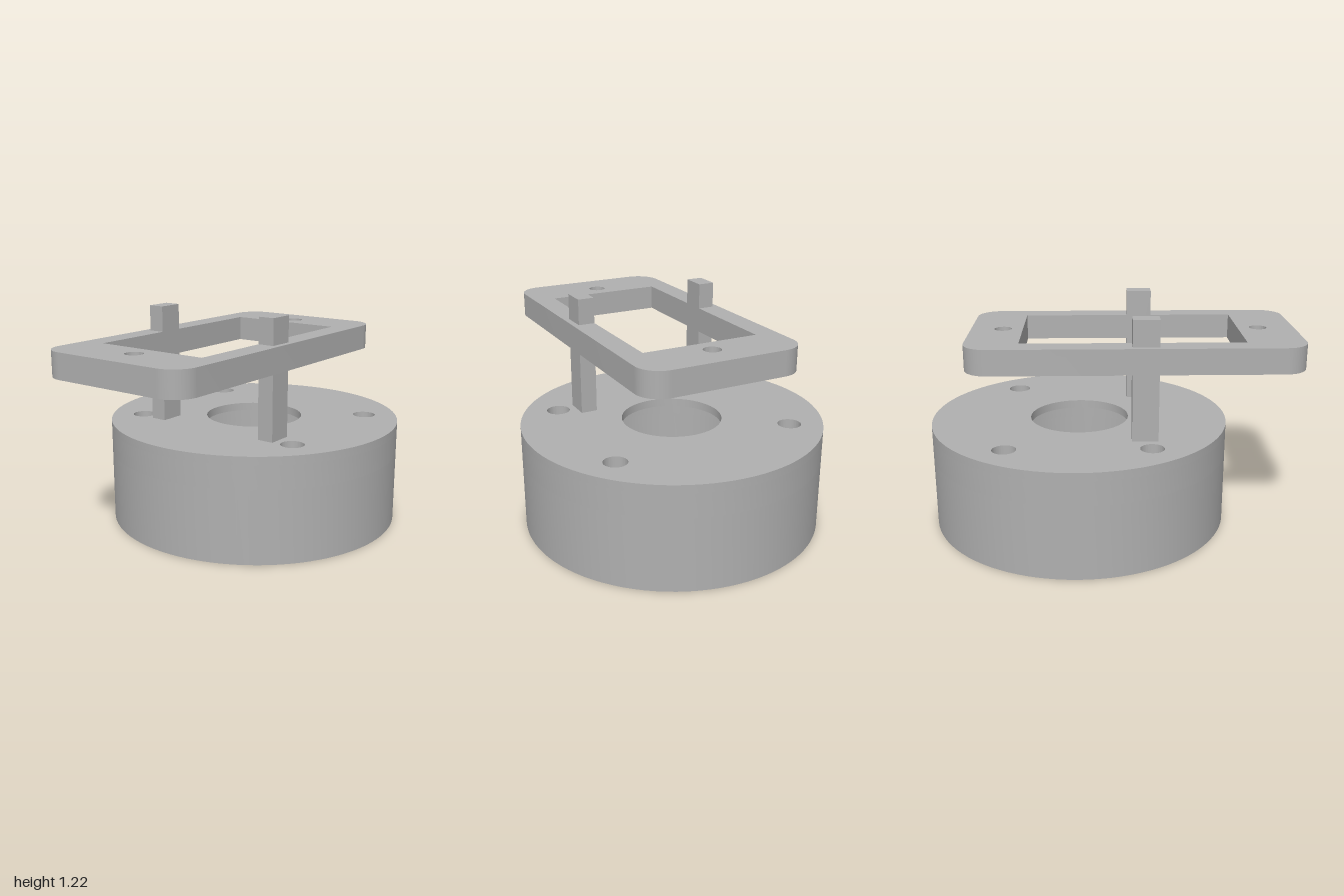
import * as THREE from 'three';
import { toCreasedNormals } from 'three/addons/utils/BufferGeometryUtils.js';

const metal = new THREE.MeshStandardMaterial({ color: 0xb0b0b0 });
metal.name = 'grey metal';

function circle(PathType, x, z, r) {
  return new PathType().absarc(x, -z, r, 0, Math.PI * 2, false);
}

// Extrudes a plan-view shape (shape y = -z) upward between two heights
function slab(name, shape, y0, y1) {
  const raw = new THREE.ExtrudeGeometry(shape, { depth: y1 - y0, bevelEnabled: false, curveSegments: 48 });
  raw.rotateX(-Math.PI / 2).translate(0, y0, 0);
  const mesh = new THREE.Mesh(toCreasedNormals(raw, Math.PI / 6), metal);
  mesh.name = name;
  return mesh;
}

// One layer of the round base with its bore and four bolt holes
function baseLayer(name, boreRadius, boltRadius, y0, y1) {
  const cz = -0.18;
  const disc = circle(THREE.Shape, 0, cz, 0.82);
  disc.holes.push(circle(THREE.Path, 0, cz, boreRadius));
  for (const x of [-0.515, 0.515]) {
    for (const z of [cz - 0.378, cz + 0.378]) disc.holes.push(circle(THREE.Path, x, z, boltRadius));
  }
  return slab(name, disc, y0, y1);
}

function frameShape() {
  const w = 0.447, front = -1.0, back = 0.765, r = 0.13;
  const s = new THREE.Shape();
  s.absarc(w - r, back - r, r, 0, Math.PI / 2, false);
  s.absarc(-w + r, back - r, r, Math.PI / 2, Math.PI, false);
  s.absarc(-w + r, front + r, r, Math.PI, Math.PI * 1.5, false);
  s.absarc(w - r, front + r, r, Math.PI * 1.5, Math.PI * 2, false);
  s.closePath();
  // rectangular window
  const win = new THREE.Path();
  win.moveTo(-0.325, -0.69);
  win.lineTo(0.325, -0.69);
  win.lineTo(0.325, 0.482);
  win.lineTo(-0.325, 0.482);
  win.closePath();
  // screw holes at both ends
  s.holes.push(win, circle(THREE.Path, 0, -0.59, 0.047), circle(THREE.Path, 0, 0.803, 0.047));
  return s;
}

export function createModel() {
  const model = new THREE.Group();
  model.name = 'bracketAssembly';

  // Round base: wide bore and counterbores below, thin lip on top
  const base = new THREE.Group();
  base.name = 'roundBase';
  base.add(
    baseLayer('baseBody', 0.48, 0.106, 0, 0.4),
    baseLayer('baseUpper', 0.48, 0.063, 0.4, 0.53),
    baseLayer('baseLip', 0.273, 0.063, 0.53, 0.575)
  );
  model.add(base);

  // Rectangular frame held above the base
  model.add(slab('frame', frameShape(), 0.943, 1.08));

  // Two upright posts passing through the frame rails
  for (const side of [-1, 1]) {
    const post = new THREE.Mesh(new THREE.BoxGeometry(0.09, 0.655, 0.138), metal);
    post.name = side > 0 ? 'leftPost' : 'rightPost';
    post.position.set(side * 0.37, 0.8925, 0.167);
    model.add(post);
  }
  return model;
}
